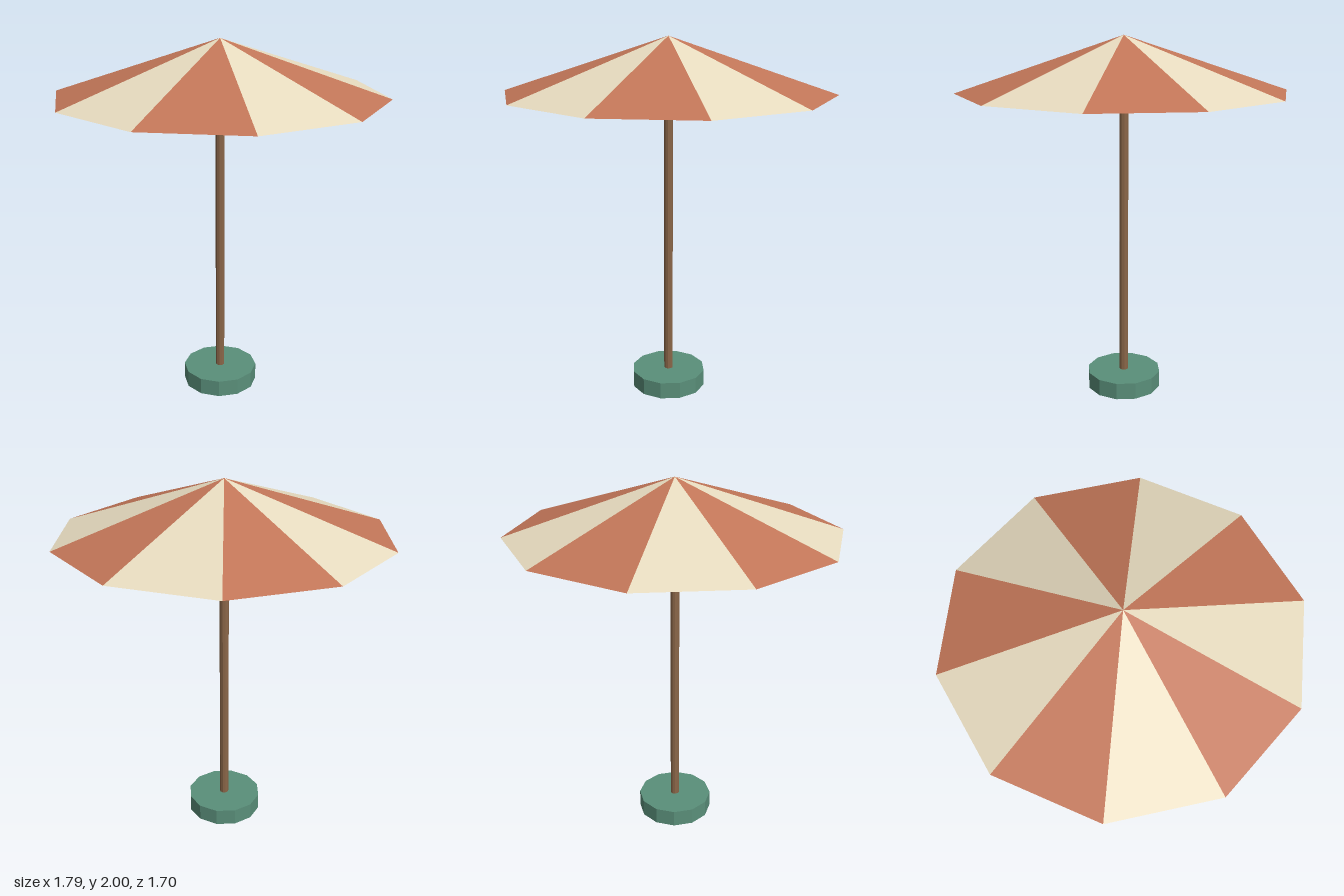
import * as THREE from 'three';

const mat = (name, color, extra = {}) => {
  const m = new THREE.MeshStandardMaterial({ color, flatShading: true, ...extra });
  m.name = name;
  return m;
};

export function createModel() {
  const group = new THREE.Group();
  group.name = 'parasol';

  const red = mat('terracotta cloth', 0xc27658, { side: THREE.DoubleSide });
  const cream = mat('cream cloth', 0xe8dcc0, { side: THREE.DoubleSide });
  const wood = mat('brown wood', 0x8a6648);
  const green = mat('green base', 0x5a8f7a);

  const add = (name, geometry, material, y) => {
    const mesh = new THREE.Mesh(geometry, material);
    mesh.name = name;
    mesh.position.y = y;
    group.add(mesh);
  };

  // Twelve-sided foot
  const baseH = 0.095;
  add('base', new THREE.CylinderGeometry(0.21, 0.21, baseH, 12), green, baseH / 2);

  // Pole, ending just inside the canopy
  const poleTop = 1.79;
  add('pole', new THREE.CylinderGeometry(0.025, 0.025, poleTop - baseH, 10), wood, (poleTop + baseH) / 2);

  // Open ten-panel canopy, one triangle per panel in alternating colours
  const rimY = 1.705, panels = 10;
  const canopy = new THREE.ConeGeometry(0.893, 2 - rimY, panels, 1, true, Math.PI / 2);
  canopy.clearGroups();
  for (let i = 0; i < panels; i++) canopy.addGroup(i * 3, 3, i % 2);
  add('canopy', canopy, [red, cream], (2 + rimY) / 2);

  return group;
}
